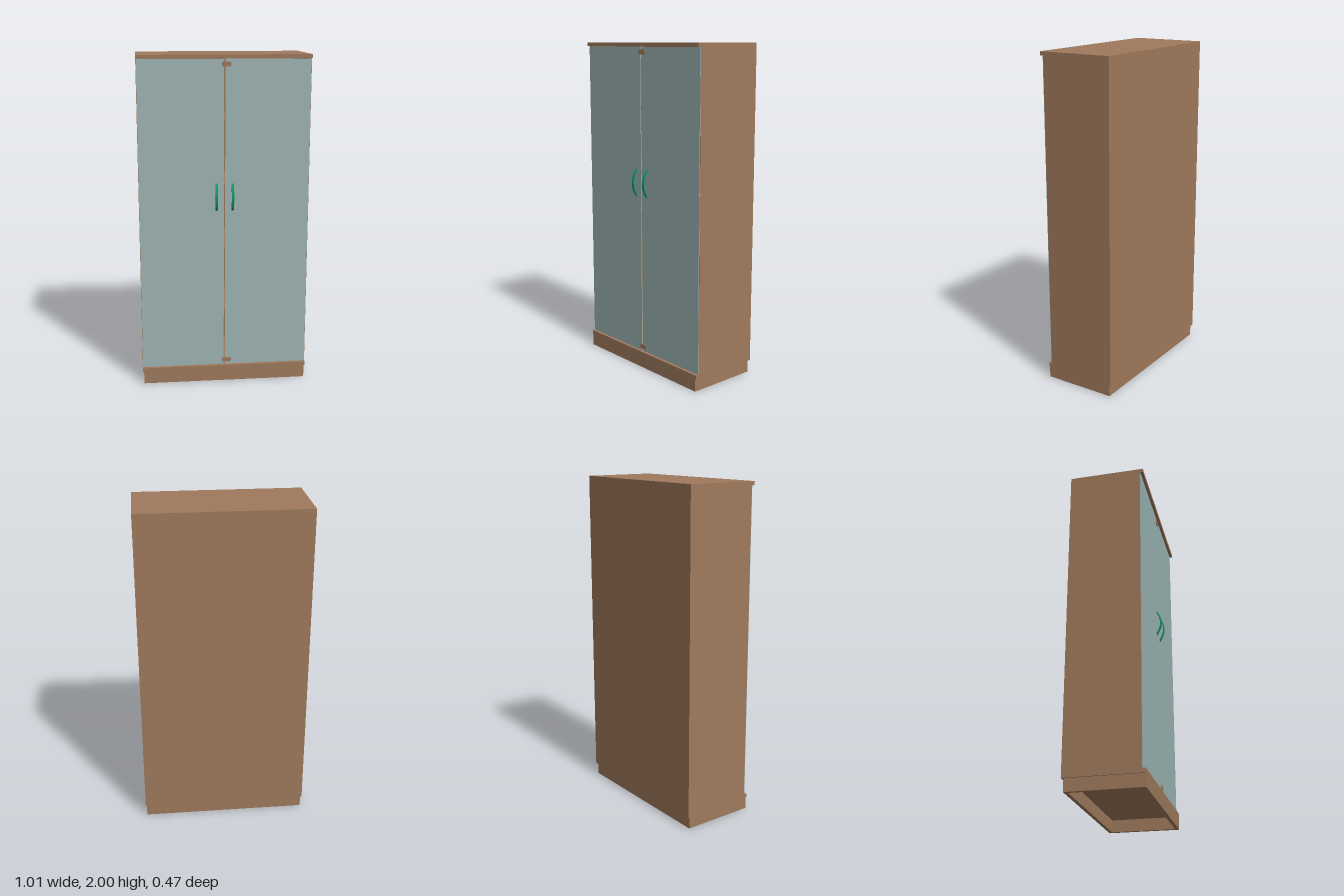
import * as THREE from 'three';

export function createModel() {
  const model = new THREE.Group();
  model.name = 'cabinet';

  const mat = (name, color) => {
    const m = new THREE.MeshStandardMaterial({ color });
    m.name = name;
    return m;
  };
  const wood = mat('brown wood', 0x9f7a5c);
  const doorPaint = mat('pale teal', 0x9db4b4);
  const green = mat('green handle', 0x149468);

  const add = (name, geometry, material) => {
    const mesh = new THREE.Mesh(geometry, material);
    mesh.name = name;
    model.add(mesh);
    return mesh;
  };
  // Box given by its minimum and maximum on each axis
  const box = (name, x0, x1, y0, y1, z0, z1, material = wood) => {
    const g = new THREE.BoxGeometry(x1 - x0, y1 - y0, z1 - z0);
    g.translate((x0 + x1) / 2, (y0 + y1) / 2, (z0 + z1) / 2);
    return add(name, g, material);
  };

  const W = 0.507, T = 0.022, BACK = -0.237, FRONT = 0.22, FACE = 0.2;
  const bottom = 0.075, deck = 0.1, lid = 1.977;

  // Carcass
  box('topBoard', -W, W, lid, 2, BACK, FRONT);
  box('bottomBoard', -W, W, bottom, deck, BACK, FRONT);
  box('backPanel', -W, W, deck, lid, BACK, BACK + 0.008);
  for (const s of [-1, 1]) {
    const xs = [s * W, s * (W - T)].sort((a, b) => a - b);
    box(s > 0 ? 'leftSide' : 'rightSide', xs[0], xs[1], deck, lid, BACK + 0.008, FACE);
  }

  // Shelves
  for (const y of [0.45, 0.845, 1.23, 1.62])
    box('shelf', -W + T, W - T, y - 0.011, y + 0.011, BACK + 0.008, 0.185);

  // Hollow plinth, open underneath
  const PX = 0.5, PB = -0.225;
  box('plinthFront', -PX, PX, 0, bottom, FRONT - T, FRONT);
  box('plinthBack', -PX, PX, 0, bottom, PB, PB + T);
  box('plinthLeft', PX - T, PX, 0, bottom, PB + T, FRONT - T);
  box('plinthRight', -PX, -PX + T, 0, bottom, PB + T, FRONT - T);

  // Doors with a narrow gap between them
  box('leftDoor', 0.004, W - 0.002, deck + 0.002, lid - 0.002, FACE, FACE + 0.004, doorPaint);
  box('rightDoor', -W + 0.002, -0.004, deck + 0.002, lid - 0.002, FACE, FACE + 0.004, doorPaint);

  // Bowed handles with a rectangular section
  const handleShape = () => {
    const shape = new THREE.Shape();
    const n = 16, half = 0.083;
    const point = (i, inset) => {
      const t = -1 + (2 * i) / n;
      return [0.0305 * (1 - t * t) + 0.2045 - inset, t * half * (1 - inset * 2)];
    };
    for (let i = 0; i <= n; i++) {
      const p = point(i, 0);
      if (i === 0) shape.moveTo(...p); else shape.lineTo(...p);
    }
    for (let i = n; i >= 0; i--) shape.lineTo(...point(i, 0.008));
    return shape;
  };
  for (const s of [-1, 1]) {
    const g = new THREE.ExtrudeGeometry(handleShape(), { depth: 0.014, bevelEnabled: false });
    g.translate(0, 0, -0.007);
    g.rotateY(-Math.PI / 2);
    add(s > 0 ? 'leftHandle' : 'rightHandle', g, green).position.set(s * 0.048, 1.168, 0);
  }

  // Small latches across the gap
  const latch = new THREE.Shape();
  latch.moveTo(-0.012, -0.014);
  latch.lineTo(0.03, -0.014);
  latch.lineTo(0.04, -0.007);
  latch.lineTo(0.04, 0.007);
  latch.lineTo(0.03, 0.014);
  latch.lineTo(-0.012, 0.014);
  latch.quadraticCurveTo(-0.017, 0, -0.012, -0.014);
  for (const y of [0.132, 1.946]) {
    const g = new THREE.ExtrudeGeometry(latch, { depth: 0.006, bevelEnabled: false, curveSegments: 4 });
    add('latch', g, wood).position.set(0, y, FACE + 0.003);
  }

  return model;
}
